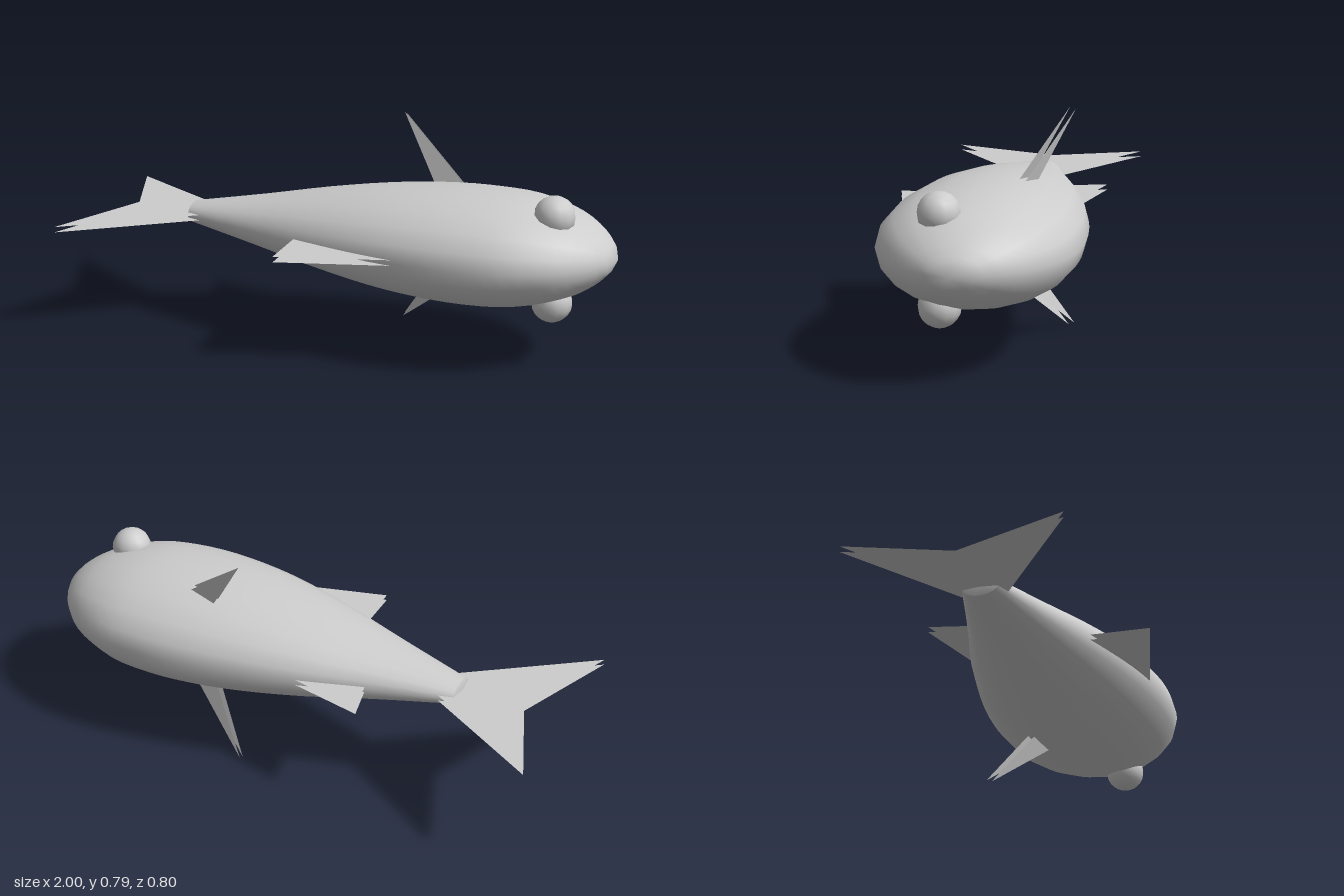
import * as THREE from 'three';

const MID = 0.4;      // height of the body's centre plane
const SIDES = 20;
const FLATTEN = 0.577; // body thickness relative to its depth

// Skin through elliptical rings; each station is (x, centre z, half depth).
// A half depth of 0 becomes a single pole vertex.
function loft(stations) {
  const pos = [], index = [], start = [];
  for (const s of stations) {
    start.push(pos.length / 3);
    const n = s.z === 0 ? 1 : SIDES;
    for (let j = 0; j < n; j++) {
      const a = (j / SIDES) * Math.PI * 2;
      pos.push(s.x, MID + FLATTEN * s.z * Math.sin(a), s.y + s.z * Math.cos(a));
    }
  }
  const id = (i, j) => start[i] + (stations[i].z === 0 ? 0 : j % SIDES);
  for (let i = 0; i < stations.length - 1; i++) {
    for (let j = 0; j < SIDES; j++) {
      if (stations[i].z !== 0) index.push(id(i, j), id(i + 1, j), id(i, j + 1));
      if (stations[i + 1].z !== 0) index.push(id(i, j + 1), id(i + 1, j), id(i + 1, j + 1));
    }
  }
  const g = new THREE.BufferGeometry();
  g.setAttribute('position', new THREE.Float32BufferAttribute(pos, 3));
  g.setIndex(index);
  g.computeVertexNormals();
  return g;
}

// Flat sheet fanned out from its first corner
function sheet(corners) {
  const pos = [];
  for (let i = 1; i < corners.length - 1; i++) {
    pos.push(...corners[0], ...corners[i], ...corners[i + 1]);
  }
  const g = new THREE.BufferGeometry();
  g.setAttribute('position', new THREE.Float32BufferAttribute(pos, 3));
  g.computeVertexNormals();
  return g;
}

export function createModel() {
  const group = new THREE.Group();
  const skin = new THREE.MeshStandardMaterial({ color: 0xcccccc, side: THREE.DoubleSide });
  skin.name = 'pale grey';
  const add = (name, geometry) => {
    const m = new THREE.Mesh(geometry, skin);
    m.name = name;
    group.add(m);
    return m;
  };

  // Body, tapering from the blunt head to the tail stalk
  const profile = [
    [-0.625, -0.054, 0.066], [-0.345, -0.045, 0.155], [-0.1, -0.04, 0.238],
    [0.136, -0.033, 0.303], [0.32, -0.03, 0.335], [0.5, -0.028, 0.346],
    [0.67, -0.027, 0.328], [0.83, -0.025, 0.255], [0.93, -0.024, 0.157],
    [0.975, -0.02, 0.08],
  ].map((p) => new THREE.Vector3(...p));
  const rings = new THREE.CatmullRomCurve3(profile).getPoints(27);
  add('body', loft([...rings, new THREE.Vector3(0.997, -0.018, 0)]));
  add('tailStalkEnd', loft([new THREE.Vector3(-0.636, -0.054, 0), profile[0]]));

  // Tail, back and belly fins: pairs of thin sheets as [x, z] outlines
  const fins = {
    tailFin: [[-0.86, -0.055], [-1, -0.4], [-0.55, -0.117], [-0.55, 0.012], [-1, 0.355]],
    backFin: [[-0.36, -0.34], [-0.05, -0.267], [-0.318, -0.17]],
    bellyFin: [[-0.12, 0.4], [-0.132, 0.15], [0.32, 0.283]],
  };
  for (const [name, outline] of Object.entries(fins)) {
    for (const y of [MID - 0.01, MID + 0.01]) {
      add(name, sheet(outline.map(([x, z]) => [x, y, z])));
    }
  }

  // Side fins and eyes, mirrored across the centre plane
  const sideFin = [
    [[0.13, 0.797, -0.27], [0.285, 0.57, -0.157], [0.41, 0.575, -0.128]],
    [[0.13, 0.79, -0.29], [0.288, 0.565, -0.183], [0.41, 0.57, -0.15]],
  ];
  for (const side of [1, -1]) {
    const label = side > 0 ? 'upper' : 'lower';
    for (const corners of sideFin) {
      add(label + 'SideFin', sheet(corners.map(([x, y, z]) => [x, MID + side * (y - MID), z])));
    }
    const eye = add(label + 'Eye', new THREE.SphereGeometry(0.073, 12, 10));
    eye.position.set(0.786, MID + side * 0.154, 0.057);
  }
  return group;
}
